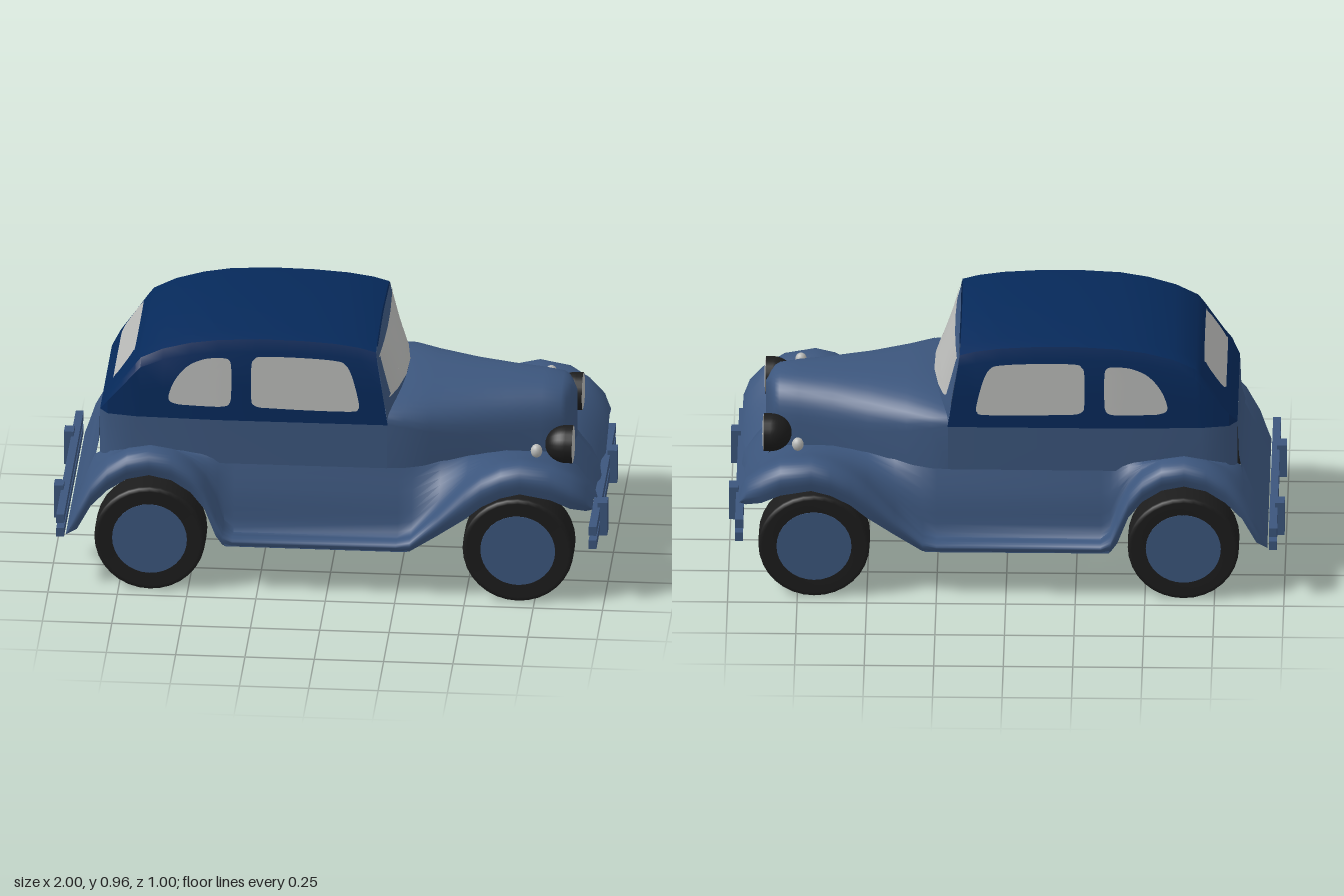
import * as THREE from 'three';
import { toCreasedNormals } from 'three/addons/utils/BufferGeometryUtils.js';

const paint = (name, color) => {
  const m = new THREE.MeshStandardMaterial({ color, side: THREE.DoubleSide });
  m.name = name;
  return m;
};

export function createModel() {
  const car = new THREE.Group();
  car.name = 'saloonCar';
  const blue = paint('body blue', 0x3c567d);
  const navy = paint('roof navy', 0x06295a);
  const pale = paint('glass grey', 0xb8b9b7);
  const black = paint('tyre black', 0x1c1c1c);

  const add = (name, geometry, material, x = 0, y = 0, z = 0) => {
    const mesh = new THREE.Mesh(geometry, material);
    mesh.name = name;
    mesh.position.set(x, y, z);
    car.add(mesh);
    return mesh;
  };

  // Skin a list of equally long rows of [x, y, z] points
  const loft = (rows, crease = 0.7) => {
    const n = rows[0].length, index = [];
    for (let i = 0; i < rows.length - 1; i++) {
      for (let j = 0; j < n - 1; j++) {
        const a = i * n + j, b = a + n;
        index.push(a, b, a + 1, b, b + 1, a + 1);
      }
    }
    const g = new THREE.BufferGeometry();
    g.setAttribute('position', new THREE.Float32BufferAttribute(rows.flat(2), 3));
    g.setIndex(index);
    g.computeVertexNormals();
    return toCreasedNormals(g, crease);
  };

  // Complete a half section (side to centre) with its mirror image
  const mirror = (half) => [...half, ...half.slice(0, -1).reverse().map(([x, y, z]) => [x, y, -z])];

  // Fill a rounded outline with rings and lay it on both faces of a curved panel
  const pane = (name, outline, surface) => {
    const pts = new THREE.SplineCurve(outline.map((p) => new THREE.Vector2(...p))).getPoints(56);
    const c = pts.reduce((s, p) => s.add(p), new THREE.Vector2()).divideScalar(pts.length);
    for (const offset of [0.004, -0.004]) {
      const rows = [0, 0.25, 0.5, 0.75, 1].map((k) =>
        pts.map((p) => surface(c.x + (p.x - c.x) * k, c.y + (p.y - c.y) * k, offset)));
      add(name, loft(rows, 1), pale);
    }
  };
  const roundRect = (u0, u1, v0, v1, r) => [
    [u0 + r, v0], [u1 - r, v0], [u1 - r * 0.3, v0 + r * 0.3], [u1, v0 + r], [u1, v1 - r],
    [u1 - r * 0.3, v1 - r * 0.3], [u1 - r, v1], [u0 + r, v1], [u0 + r * 0.3, v1 - r * 0.3],
    [u0, v1 - r], [u0, v0 + r], [u0 + r * 0.3, v0 + r * 0.3], [u0 + r, v0]];

  // Fenders and running boards: x, top, outer z, skirt bottom, inner z, inner y
  const fender = [
    [0.958, 0.378, 0.43, 0.362, 0.11, 0.27], [0.935, 0.44, 0.455, 0.367, 0.125, 0.32],
    [0.88, 0.49, 0.48, 0.385, 0.135, 0.40], [0.81, 0.53, 0.493, 0.422, 0.145, 0.455],
    [0.7, 0.547, 0.5, 0.445, 0.175, 0.47], [0.63, 0.532, 0.498, 0.425, 0.195, 0.48],
    [0.56, 0.497, 0.492, 0.385, 0.22, 0.48], [0.5, 0.45, 0.483, 0.33, 0.24, 0.48],
    [0.4, 0.34, 0.468, 0.255, 0.282, 0.48], [0.3, 0.235, 0.457, 0.185, 0.32, 0.48],
    [0.25, 0.222, 0.455, 0.18, 0.333, 0.48], [-0.34, 0.22, 0.455, 0.18, 0.34, 0.48],
    [-0.375, 0.25, 0.455, 0.185, 0.34, 0.48], [-0.4, 0.33, 0.455, 0.22, 0.34, 0.49],
    [-0.44, 0.42, 0.456, 0.325, 0.338, 0.5], [-0.49, 0.483, 0.458, 0.39, 0.335, 0.5],
    [-0.56, 0.528, 0.46, 0.437, 0.33, 0.5], [-0.64, 0.543, 0.462, 0.455, 0.325, 0.5],
    [-0.72, 0.528, 0.463, 0.437, 0.315, 0.49], [-0.79, 0.488, 0.463, 0.39, 0.28, 0.48],
    [-0.85, 0.425, 0.46, 0.325, 0.26, 0.44], [-0.9, 0.335, 0.455, 0.23, 0.28, 0.32],
    [-0.94, 0.21, 0.44, 0.2, 0.32, 0.21]];
  for (const s of [1, -1]) {
    const rows = fender.map(([x, yt, zo, yb, zi, yi]) => {
      const h = yt - yb;
      const profile = [[zo - 0.012, yb], [zo, yt - 0.45 * h], [zo - 0.025, yt - 0.1 * h], [zo - 0.08, yt],
        [(zo - 0.08 + zi) / 2, (yt + yi) / 2], [zi - 0.012, yi]];
      return new THREE.SplineCurve(profile.map((p) => new THREE.Vector2(...p)))
        .getPoints(18).map((p) => [x, p.y, s * p.x]);
    });
    add('fenderAndRunningBoard', loft(rows, 0.9), blue);
    add('runningBoardBase', new THREE.BoxGeometry(0.66, 0.02, 0.11), blue, -0.04, 0.192, s * 0.392);
  }

  // Bonnet: x, half width, bottom, shoulder, top; closed by a shallow V-shaped nose
  const bonnet = [
    [0.2, 0.335, 0.46, 0.635, 0.7], [0.27, 0.328, 0.46, 0.62, 0.714], [0.36, 0.295, 0.46, 0.59, 0.714],
    [0.5, 0.24, 0.46, 0.56, 0.711], [0.63, 0.195, 0.46, 0.55, 0.707], [0.75, 0.162, 0.45, 0.55, 0.702],
    [0.82, 0.143, 0.44, 0.55, 0.694], [0.838, 0.13, 0.44, 0.55, 0.684], [0.852, 0.085, 0.44, 0.55, 0.672],
    [0.87, 0.001, 0.44, 0.55, 0.645]];
  add('bonnet', loft(bonnet.map(([x, w, yb, ys, yt]) => {
    const half = [[x, yb, w]];
    for (let i = 0; i <= 10; i++) {
      const t = i / 10 * Math.PI / 2;
      half.push([x, ys + (yt - ys) * Math.sin(t) ** 0.8, w * Math.max(0, Math.cos(t)) ** 0.8]);
    }
    return mirror(half);
  }), 0.9), blue);

  // Grille apron and its underside: y, half width, edge x, centre x
  add('grilleApron', loft([[0.46, 0.14, 0.828, 0.87], [0.36, 0.13, 0.91, 0.95], [0.27, 0.112, 0.957, 0.962],
    [0.268, 0.135, 0.88, 0.88]]
    .map(([y, w, xe, xc]) => mirror([[xe, y, w], [(xe + xc) / 2, y, w / 2], [xc, y, 0]]))), blue);

  // Lower cabin sides and sloping tail
  const plan = [[-0.83, 0.27], [-0.8, 0.31], [-0.7, 0.328], [-0.4, 0.338], [0.21, 0.335]];
  const width = (x) => {
    let i = 0;
    while (i < plan.length - 2 && x > plan[i + 1][0]) i++;
    const [x0, w0] = plan[i], [x1, w1] = plan[i + 1];
    return w0 + (w1 - w0) * (x - x0) / (x1 - x0);
  };
  for (const s of [1, -1]) {
    add('cabinSide', loft([0.46, 0.63].map((y) => plan.map(([x, w]) => [x, y, s * w])), 0.9), blue);
  }
  add('tailPanel', loft([[-0.83, 0.63, 0.27], [-0.835, 0.5, 0.275], [-0.85, 0.43, 0.31], [-0.88, 0.36, 0.34],
    [-0.94, 0.21, 0.37]].map(([x, y, w]) => mirror([[x, y, w], [x, y, 0]]))), blue);

  // Roof and window pillars: x, crown height
  const sideZ = (x, y) => width(x) - 0.05 * (y - 0.63);
  const roof = [[-0.83, 0.631], [-0.8, 0.69], [-0.75, 0.765], [-0.7, 0.84], [-0.68, 0.868], [-0.6, 0.91],
    [-0.5, 0.94], [-0.4, 0.957], [-0.25, 0.966], [-0.1, 0.964], [0.02, 0.956], [0.11, 0.942], [0.165, 0.925]];
  add('roof', loft(roof.map(([x, yt], i) => {
    const slant = i === roof.length - 1 ? 0.16 : 0;
    const h = yt - 0.63, w = width(x);
    return mirror([[0.63, w], [0.63 + 0.4 * h, sideZ(x, 0.63 + 0.4 * h)], [0.63 + 0.8 * h, sideZ(x, 0.63 + 0.8 * h)],
      [0.63 + 0.93 * h, w - 0.028], [yt - 0.012 * h / 0.3, w - 0.09], [yt, 0]]
      .map(([y, z]) => [x + slant * (yt - y), y, z]));
  }), 0.6), navy);

  // Windscreen frame, bulging forward at the centre
  const screenX = (z, y) => 0.165 + 0.16 * (0.92 - y)
    + (0.005 + 0.06 * Math.min(1, Math.max(0, 0.92 - y) / 0.2)) * (1 - (z / 0.335) ** 2);
  const frame = [];
  for (let i = 0; i <= 8; i++) {
    frame.push(Array.from({ length: 17 }, (_, j) => {
      const u = j / 8 - 1, z = u * (0.334 - 0.002 * i - (i === 8 ? 0.006 : 0));
      const y = 0.62 + (0.28 + 0.02 * (1 - u * u)) * i / 8;
      return [screenX(z, y), y, z];
    }));
  }
  add('windscreenFrame', loft(frame, 1), blue);

  // Glass
  pane('windscreen', roundRect(-0.28, 0.28, 0.722, 0.885, 0.025), (z, y, d) => [screenX(z, y) + d, y, z]);
  pane('rearWindow', roundRect(-0.215, 0.215, 0.72, 0.838, 0.035),
    (z, y, d) => [-0.8 + (y - 0.69) / 1.5 - 2 * d, y + d, z]);
  const frontWindow = [[-0.25, 0.685], [-0.08, 0.68], [0.08, 0.68], [0.105, 0.69], [0.108, 0.715], [0.085, 0.81],
    [0.06, 0.86], [0.02, 0.875], [-0.1, 0.882], [-0.24, 0.882], [-0.27, 0.87], [-0.28, 0.84], [-0.28, 0.72],
    [-0.272, 0.695], [-0.25, 0.685]];
  const quarterWindow = [[-0.54, 0.685], [-0.45, 0.683], [-0.38, 0.685], [-0.357, 0.7], [-0.352, 0.74],
    [-0.352, 0.83], [-0.36, 0.865], [-0.39, 0.872], [-0.45, 0.865], [-0.51, 0.835], [-0.555, 0.78],
    [-0.578, 0.72], [-0.572, 0.695], [-0.54, 0.685]];
  for (const s of [1, -1]) {
    const side = (x, y, d) => [x, y, s * (sideZ(x, y) + d)];
    pane('frontSideWindow', frontWindow, side);
    pane('rearSideWindow', quarterWindow, side);
  }

  // Wheels
  const tyre = new THREE.LatheGeometry([[0.13, -0.06], [0.185, -0.063], [0.198, -0.061], [0.2, -0.05], [0.2, 0.05],
    [0.198, 0.061], [0.185, 0.063], [0.13, 0.06]].map((p) => new THREE.Vector2(...p)), 32).rotateX(Math.PI / 2);
  const disc = new THREE.CylinderGeometry(0.135, 0.135, 0.126, 32).rotateX(Math.PI / 2);
  for (const x of [-0.638, 0.69]) {
    for (const s of [1, -1]) {
      add('tyre', tyre, black, x, 0.202, s * 0.384);
      add('wheelDisc', disc, blue, x, 0.202, s * 0.384);
    }
  }

  // Headlamps and side lamps
  const shell = new THREE.SphereGeometry(0.069, 20, 12, 0, Math.PI * 2, 0, Math.PI / 2)
    .rotateZ(Math.PI / 2).scale(1.1, 1, 1);
  const rim = new THREE.CylinderGeometry(0.069, 0.069, 0.025, 20, 1, true).rotateZ(Math.PI / 2);
  const lens = new THREE.SphereGeometry(0.069, 20, 8, 0, Math.PI * 2, 0, Math.PI / 2)
    .rotateZ(-Math.PI / 2).scale(0.1, 1, 1);
  for (const z of [0.25, -0.208]) {
    add('headlampShell', shell, black, 0.85, 0.54, z);
    add('headlampRim', rim, black, 0.862, 0.54, z);
    add('headlampLens', lens, pale, 0.873, 0.54, z);
  }
  for (const z of [0.348, -0.332]) {
    add('sideLamp', new THREE.SphereGeometry(0.021, 14, 10).scale(1, 1.2, 1), pale, 0.75, 0.555, z);
  }

  // Bumpers
  const bumper = (x, dir, y, posts) => {
    for (const dy of [0, 0.053]) {
      add('bumperBar', new THREE.BoxGeometry(0.028, 0.034, 0.895), blue, x, y + dy, 0.002);
    }
    for (const z of posts) {
      add('bumperPost', new THREE.BoxGeometry(0.035, 0.128, 0.054), blue, x + dir * 0.022, y + 0.024, z);
    }
  };
  bumper(0.96, 1, 0.237, [0.253, -0.198]);
  bumper(-0.96, -1, 0.217, [0.213, -0.25]);

  return car;
}
